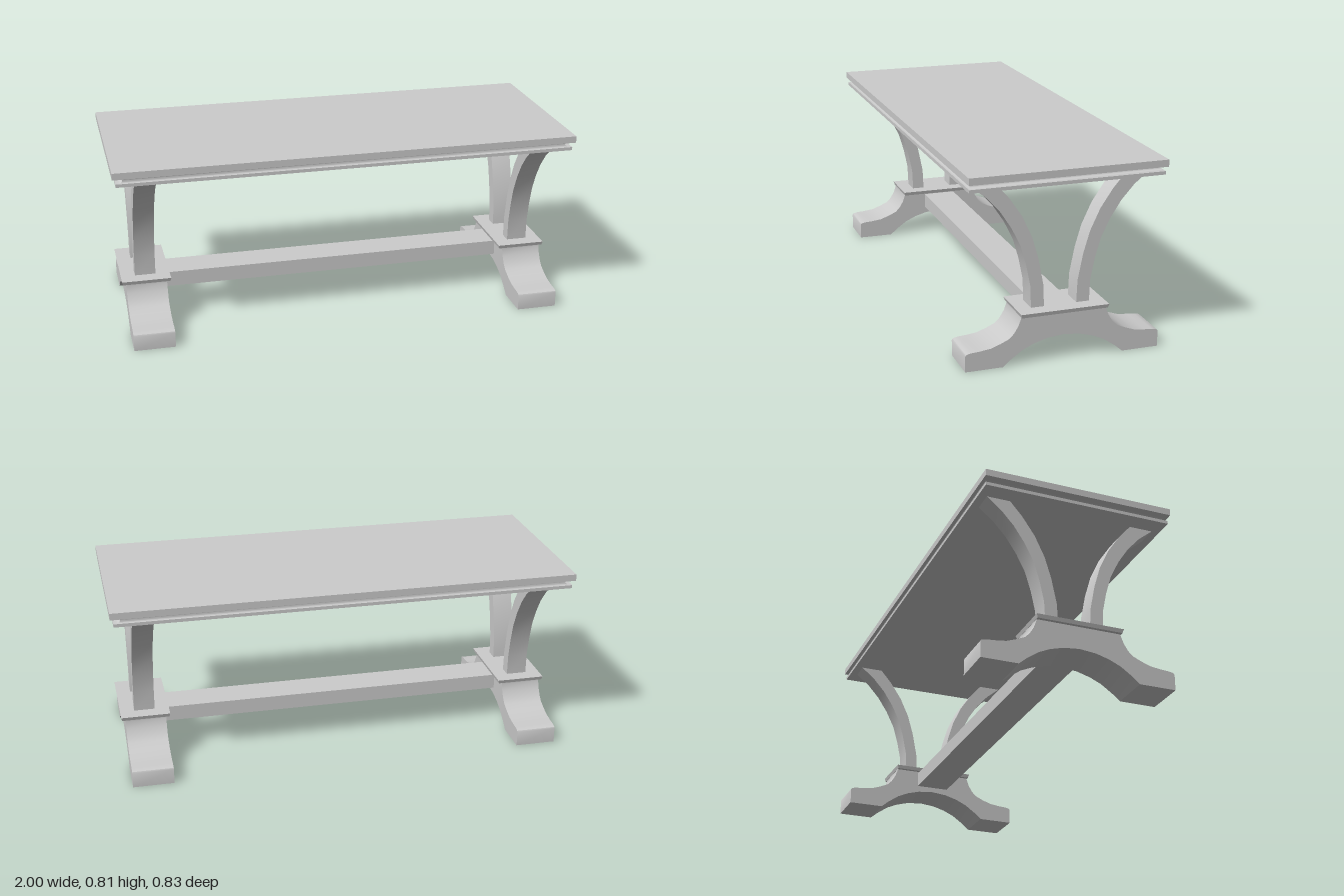
import * as THREE from 'three';
import { toCreasedNormals } from 'three/addons/utils/BufferGeometryUtils.js';

const material = new THREE.MeshStandardMaterial({ color: 0xcccccc });

function part(name, geometry, parent, crease = 0.5) {
  const mesh = new THREE.Mesh(toCreasedNormals(geometry, crease), material);
  mesh.name = name;
  parent.add(mesh);
  return mesh;
}

// Stacked rectangles [halfX, halfZ, y], bottom to top, joined and capped
function rectLoft(rings) {
  const pos = [], idx = [];
  rings.forEach(([x, z, y]) => pos.push(-x, y, z, x, y, z, x, y, -z, -x, y, -z));
  for (let r = 0; r < rings.length - 1; r++) {
    for (let i = 0; i < 4; i++) {
      const a = r * 4 + i, b = r * 4 + (i + 1) % 4;
      idx.push(a, b, b + 4, a, b + 4, a + 4);
    }
  }
  const t = (rings.length - 1) * 4;
  idx.push(0, 2, 1, 0, 3, 2, t, t + 1, t + 2, t, t + 2, t + 3);
  const g = new THREE.BufferGeometry();
  g.setAttribute('position', new THREE.Float32BufferAttribute(pos, 3));
  g.setIndex(idx);
  return g;
}

// Side outline of [z, y] points given a thickness along x
function sideExtrude(points, width) {
  const shape = new THREE.Shape(points.map(([z, y]) => new THREE.Vector2(z, y)));
  const g = new THREE.ExtrudeGeometry(shape, { depth: width, bevelEnabled: false });
  return g.translate(0, 0, -width / 2).rotateY(-Math.PI / 2);
}

const mirrored = (points) => points.map(([z, y]) => [-z, y]).reverse();

export function createModel() {
  const model = new THREE.Group();
  model.name = 'trestleTable';

  // Top slab with a hollow moulding and a lower lip
  const ring = (s, y) => [s, 0.411 * s, y];
  const profile = [ring(0.986, 0.742), ring(0.986, 0.756), ring(0.972, 0.756)];
  for (let i = 1; i < 8; i++) {
    const a = (i / 8) * Math.PI;
    profile.push(ring(0.972 - 0.015 * Math.sin(a), 0.7665 - 0.0105 * Math.cos(a)));
  }
  profile.push(ring(0.972, 0.777), ring(1, 0.777), ring(1, 0.806));
  part('tableTop', rectLoft(profile), model);

  // Half outline of the foot, from the floor up to the plate
  const footSide = [
    [0.413, 0], [0.413, 0.066], [0.41, 0.072], [0.403, 0.075], [0.387, 0.078],
    [0.356, 0.08], [0.308, 0.086], [0.268, 0.1], [0.23, 0.117], [0.21, 0.137],
    [0.1925, 0.166], [0.181, 0.197], [0.181, 0.206],
  ];
  // Half of the arch under the foot, from the floor to the crown
  const arch = [[0.2566, 0], [0.225, 0.027], [0.175, 0.062], [0.126, 0.084], [0.069, 0.1]];
  const foot = [...footSide, ...mirrored(footSide), ...mirrored(arch).reverse(),
    [0, 0.107], ...[...arch].reverse()];

  // Curved leg, outer edge going up and inner edge coming down
  const leg = [
    [0.124, 0.215], [0.128, 0.313], [0.146, 0.401], [0.17, 0.483], [0.208, 0.56],
    [0.254, 0.63], [0.3075, 0.69], [0.372, 0.743],
    [0.27, 0.743], [0.217, 0.682], [0.164, 0.604], [0.122, 0.514], [0.095, 0.423],
    [0.073, 0.312], [0.069, 0.215],
  ];

  for (const side of [1, -1]) {
    const trestle = new THREE.Group();
    trestle.name = side > 0 ? 'leftTrestle' : 'rightTrestle';
    trestle.position.x = side * 0.862;
    model.add(trestle);
    part('foot', sideExtrude(foot, 0.177), trestle);
    part('footPlate', rectLoft([[0.103, 0.182, 0.203], [0.107, 0.187, 0.219]]), trestle);
    part('frontLeg', sideExtrude(leg, 0.09), trestle);
    part('backLeg', sideExtrude(mirrored(leg), 0.09), trestle);
  }

  // Long beam joining the two feet
  const beam = part('stretcher', new THREE.BoxGeometry(1.6, 0.067, 0.15), model);
  beam.position.y = 0.163;
  return model;
}
